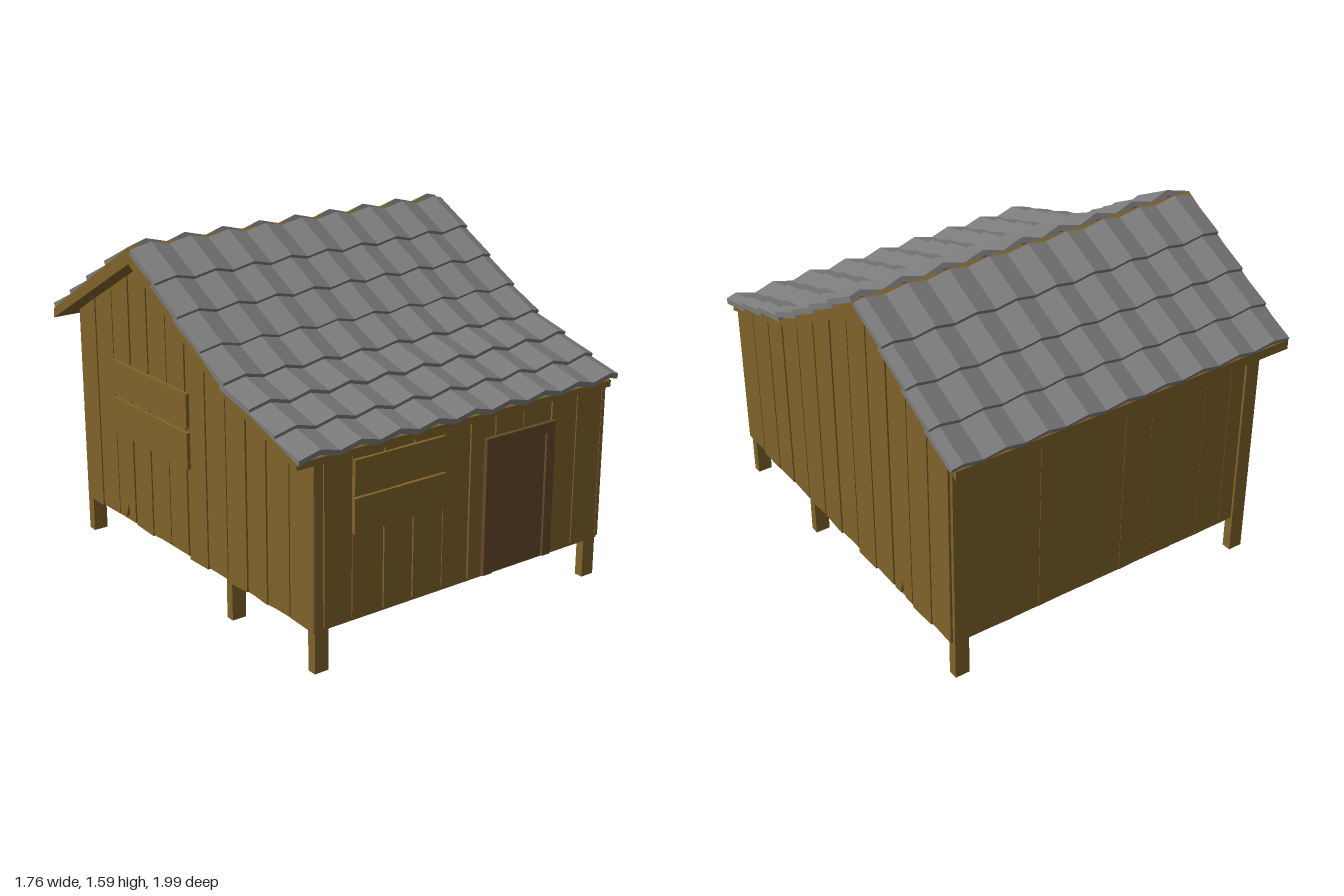
import * as THREE from 'three';

const mat = (color) => new THREE.MeshStandardMaterial({ color, flatShading: true });

export function createModel() {
  const hut = new THREE.Group();
  hut.name = 'woodenHut';
  const wood = mat(0x80632a), doorWood = mat(0x65492c), slate = mat(0x7c7c7c);

  const add = (name, geometry, material, x = 0, y = 0, z = 0) => {
    const mesh = new THREE.Mesh(geometry, material);
    mesh.name = name;
    mesh.position.set(x, y, z);
    hut.add(mesh);
    return mesh;
  };
  // box given by its limits on each axis
  const box = (name, material, x0, x1, y0, y1, z0, z1) =>
    add(name, new THREE.BoxGeometry(x1 - x0, y1 - y0, z1 - z0), material,
      (x0 + x1) / 2, (y0 + y1) / 2, (z0 + z1) / 2);
  // (z, y) outline extruded along x from x0 to x1
  const slab = (points, x0, x1) => {
    const shape = new THREE.Shape(points.map(([z, y]) => new THREE.Vector2(z, y)));
    return new THREE.ExtrudeGeometry(shape, { depth: x1 - x0, bevelEnabled: false })
      .rotateY(-Math.PI / 2).translate(x1, 0, 0);
  };

  // roof line, front eave to back eave, as [z, y]
  const roof = [[0.97, 0.95], [0.42, 1.14], [-0.255, 1.57], [-0.97, 1.14]];
  const roofY = (z) => {
    const i = z > roof[1][0] ? 0 : z > roof[2][0] ? 1 : 2;
    const [a, b] = [roof[i], roof[i + 1]];
    return a[1] + (b[1] - a[1]) * (z - a[0]) / (b[0] - a[0]);
  };
  const drop = [0.03, 0.04, 0.075, 0.045];
  const under = roof.map(([z, y], i) => [z, y - drop[i]]);
  add('roofBoards', slab([...roof, ...under.reverse()], -0.88, 0.85), wood);

  // solid walls and floor behind the planks
  const wallTop = (z) => roofY(z) - 0.02;
  const core = [[0.935, 0.2], [0.935, wallTop(0.935)], [0.42, wallTop(0.42)],
    [-0.255, wallTop(-0.255)], [-0.885, wallTop(-0.885)], [-0.885, 0.2]];
  add('walls', slab(core, -0.765, 0.82), wood);
  box('floor', wood, -0.775, 0.83, 0.19, 0.205, -0.895, 0.95);

  // side planks, cut to the roof line, with uneven lower ends
  const cuts = [0.955, 0.785, 0.63, 0.48, 0.33, 0.18, 0.02, -0.13, -0.28, -0.44, -0.59, -0.74, -0.9];
  for (const side of [-1, 1]) {
    for (let i = 0; i < cuts.length - 1; i++) {
      const a = cuts[i] - 0.005, b = cuts[i + 1] + 0.005, mid = (a + b) / 2;
      const low = 0.195 + 0.008 * Math.sin(i * 2.3 + side);
      const pts = [[a, low], [a, wallTop(a)]];
      for (const [z] of roof) if (z < a && z > b) pts.push([z, wallTop(z)]);
      pts.push([b, wallTop(b)], [b, low + 0.008 * Math.cos(i * 3)]);
      // split at the foot of one plank
      if (i === 9) pts.push([-0.53, low], [-0.505, 0.28], [-0.495, low]);
      const geometry = slab(pts.map(([z, y]) => [z - mid, y]), -0.011, 0.011);
      add('sidePlank', geometry, wood, side > 0 ? 0.828 : -0.773, 0, mid)
        .rotation.y = 0.03 * Math.sin(i * 2.1);
    }
  }

  // front planks
  const fronts = [-0.785, -0.735, -0.59, -0.43, -0.27, -0.11, 0.035, 0.18, 0.34, 0.505, 0.665, 0.815, 0.84];
  for (let i = 0; i < fronts.length - 1; i++) {
    box('frontPlank', wood, fronts[i] + 0.003, fronts[i + 1] - 0.003, 0.2, 0.95, 0.93, 0.952)
      .rotation.y = 0.04 * Math.sin(i * 2.2 + 1);
  }
  // back planks
  const backWidth = 1.605 / 11;
  for (let i = 0; i < 11; i++) {
    const x = -0.775 + i * backWidth;
    box('backPlank', wood, x, x + backWidth, 0.195, 1.15, -0.9, -0.88)
      .rotation.y = 0.03 * Math.sin(i * 1.9);
  }

  // posts: corners run up to the roof, middle ones carry the floor
  for (const x of [-0.74, 0.795]) {
    box('frontPost', wood, x - 0.035, x + 0.035, 0.005, 0.93, 0.9, 0.942);
    box('middlePost', wood, x - 0.035, x + 0.035, 0.005, 0.3, 0.305, 0.347);
    box('backPost', wood, x - 0.035, x + 0.035, 0.015, 1.13, -0.912, -0.866);
  }
  box('cornerPost', wood, -0.775, -0.705, 0, 0.3, 0.9, 0.945);

  // boards nailed across the front and left-hand openings
  box('frontBoard', wood, -0.59, -0.11, 0.578, 0.732, 0.95, 0.968);
  box('frontBoard', wood, -0.59, -0.115, 0.742, 0.897, 0.95, 0.968);
  box('sideBoard', wood, -0.8, -0.78, 0.62, 0.79, -0.58, 0.05);
  box('sideBoard', wood, -0.8, -0.78, 0.81, 0.97, -0.58, 0.05);

  // door and frame
  box('door', doorWood, 0.16, 0.47, 0.2, 0.785, 0.94, 0.96);
  box('doorFrameSide', doorWood, 0.115, 0.165, 0.2, 0.785, 0.94, 0.972);
  box('doorFrameSide', doorWood, 0.467, 0.515, 0.2, 0.785, 0.94, 0.972);
  box('doorFrameTop', doorWood, 0.115, 0.515, 0.783, 0.83, 0.94, 0.972);

  // corrugated roof sheets laid in overlapping rows
  const sheet = (zTop, zLow, lift, x) => {
    const yTop = roofY(zTop) + 0.006, yLow = roofY(zLow) + lift;
    const geometry = new THREE.BoxGeometry(1.75, 0.026, Math.hypot(zLow - zTop, yLow - yTop), 35, 1, 1);
    const p = geometry.attributes.position;
    for (let i = 0; i < p.count; i++) {
      p.setY(i, p.getY(i) - 0.014 * Math.cos((p.getX(i) + 0.875) * Math.PI * 10));
    }
    const front = zLow > zTop;
    const slope = Math.atan2(yTop - yLow, Math.abs(zLow - zTop));
    add('roofSheet', geometry, slate, x, (yTop + yLow) / 2, (zTop + zLow) / 2)
      .rotation.x = front ? slope : -slope;
  };
  const frontRows = [-0.235, -0.035, 0.135, 0.305, 0.475, 0.655, 0.83, 0.99];
  const backRows = [-0.275, -0.485, -0.66, -0.825, -0.985];
  for (let i = 1; i < frontRows.length; i++) {
    const overlap = i === 1 ? 0 : 0.03;
    sheet(frontRows[i - 1] - overlap, frontRows[i], 0.026, -0.005);
  }
  for (let i = 1; i < backRows.length; i++) {
    const overlap = i === 1 ? 0 : 0.03;
    sheet(backRows[i - 1] + overlap, backRows[i], 0.032, 0.005);
  }
  return hut;
}
